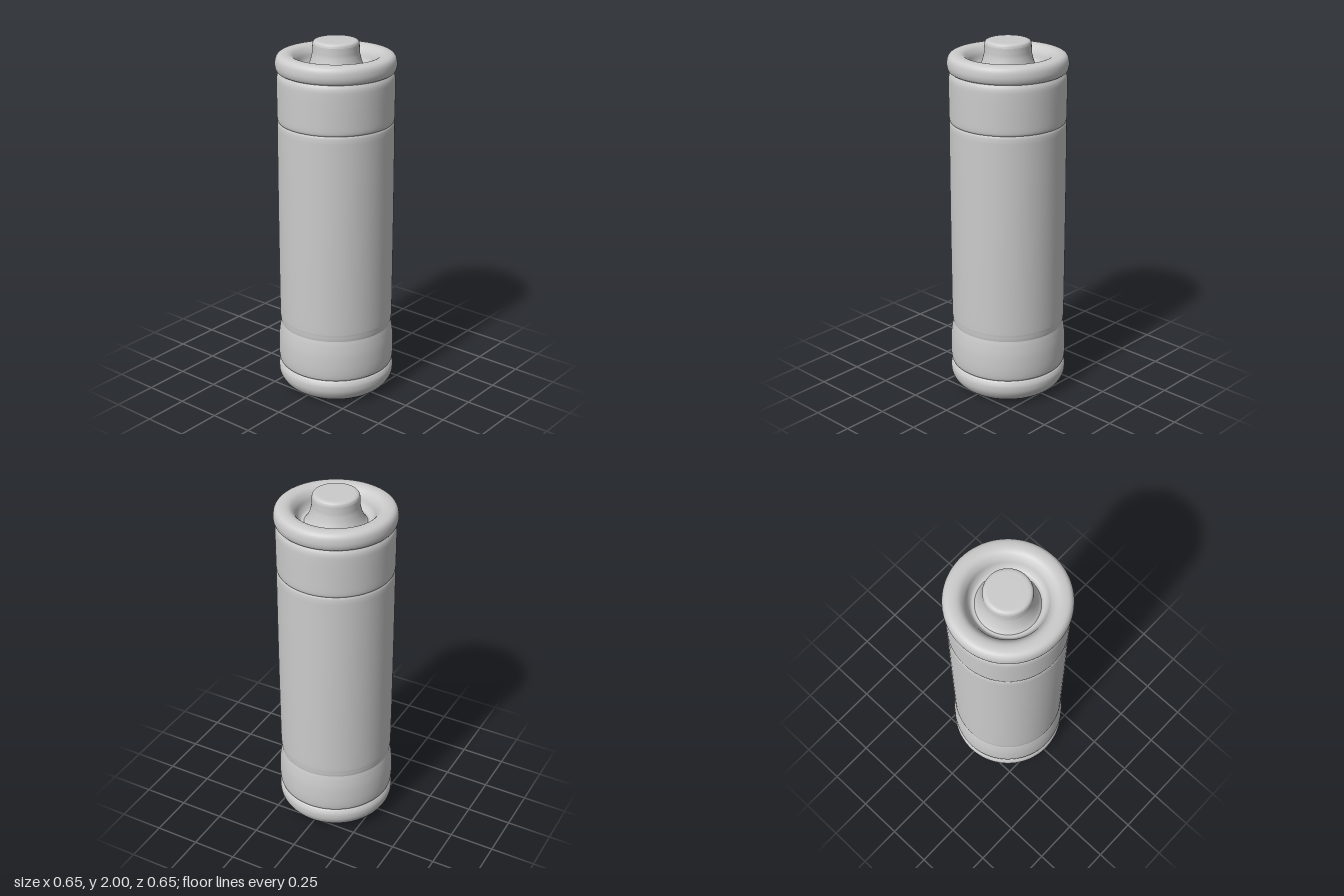
import * as THREE from 'three';

const SEGMENTS = 96;

// Revolve a smooth curve through [radius, height] points, listed from bottom centre outward and up
function revolve(name, points, samples = 40) {
  const curve = new THREE.SplineCurve(points.map(([r, y]) => new THREE.Vector2(r, y)));
  const profile = curve.getPoints(samples);
  profile.forEach((p) => { p.x = Math.max(p.x, 0); });
  const mesh = new THREE.Mesh(
    new THREE.LatheGeometry(profile, SEGMENTS),
    new THREE.MeshStandardMaterial({ color: 0xcccccc, side: THREE.DoubleSide })
  );
  mesh.name = name;
  return mesh;
}

export function createModel() {
  const battery = new THREE.Group();
  battery.name = 'battery';

  battery.add(
    // Shallow dome inside the hollow underside
    revolve('bottomContact', [[0, 0.06], [0.06, 0.064], [0.11, 0.085], [0.155, 0.095]]),

    // Rounded foot rim, from the hollow round to the first groove
    revolve('bottomRim', [
      [0.155, 0.095], [0.18, 0.07], [0.195, 0.025], [0.225, 0.003], [0.255, 0.008],
      [0.295, 0.035], [0.32, 0.075], [0.325, 0.115], [0.317, 0.14], [0.308, 0.15],
    ], 64),

    // Gently bulging lower band
    revolve('lowerBand', [
      [0.308, 0.15], [0.32, 0.165], [0.325, 0.22], [0.323, 0.3], [0.316, 0.36], [0.31, 0.392],
    ]),

    // Long main sleeve
    revolve('sleeve', [
      [0.31, 0.392], [0.313, 0.42], [0.315, 0.5], [0.316, 1.0], [0.315, 1.45], [0.314, 1.54], [0.308, 1.563],
    ]),

    // Upper band below the top rim
    revolve('upperBand', [
      [0.308, 1.563], [0.314, 1.58], [0.315, 1.65], [0.315, 1.77], [0.312, 1.81], [0.302, 1.832],
    ]),

    // Rolled top rim, curling into the recess round the terminal
    revolve('topRim', [
      [0.302, 1.832], [0.316, 1.842], [0.323, 1.87], [0.318, 1.905], [0.3, 1.925],
      [0.265, 1.93], [0.235, 1.921], [0.212, 1.895], [0.198, 1.86], [0.182, 1.84], [0.165, 1.838],
    ], 64),

    // Flared skirt and stem of the terminal
    revolve('terminalStem', [
      [0.165, 1.838], [0.15, 1.858], [0.136, 1.89], [0.127, 1.925], [0.125, 1.95], [0.124, 1.978],
    ]),

    // Rounded shoulder and flat terminal cap
    revolve('terminalCap', [
      [0.124, 1.978], [0.119, 1.992], [0.106, 1.999], [0.08, 2], [0.04, 2], [0, 2],
    ])
  );

  return battery;
}
